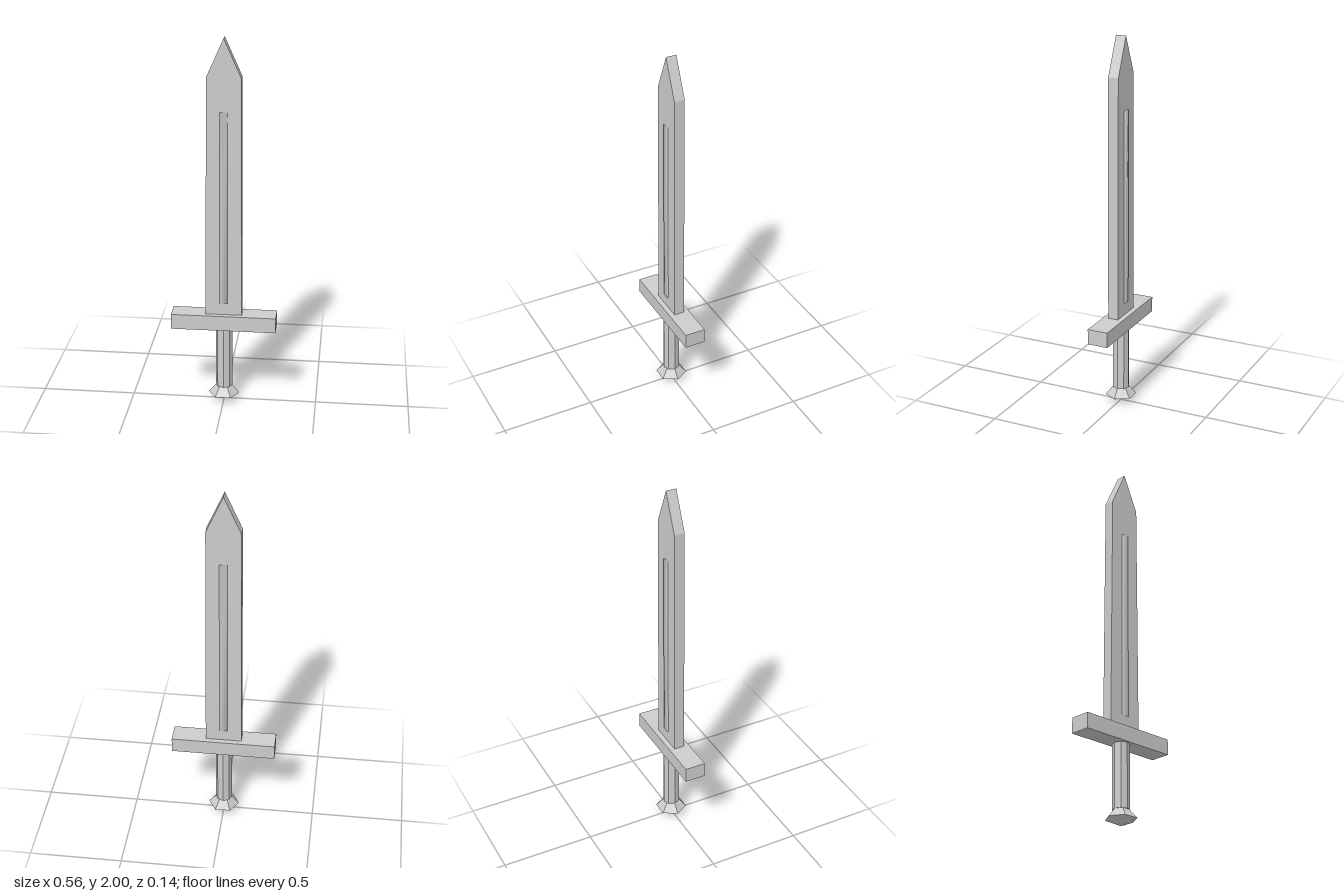
import * as THREE from 'three';
import { mergeVertices } from 'three/addons/utils/BufferGeometryUtils.js';

export function createModel() {
  const model = new THREE.Group();
  model.name = 'sword';

  const steel = new THREE.MeshStandardMaterial({ color: 0xcccccc, flatShading: true });
  steel.name = 'steel';
  const smoothSteel = steel.clone();
  smoothSteel.flatShading = false;
  smoothSteel.name = 'smooth steel';

  function add(name, geometry, y = 0, material = steel) {
    const mesh = new THREE.Mesh(geometry, material);
    mesh.name = name;
    mesh.position.y = y;
    model.add(mesh);
    return mesh;
  }

  // Blade: slightly tapering slab with a pointed tip
  const outline = new THREE.Shape([
    [-0.097, 0.5], [0.097, 0.5], [0.089, 1.8], [0, 2], [-0.089, 1.8],
  ].map(([x, y]) => new THREE.Vector2(x, y)));
  const blade = new THREE.ExtrudeGeometry(outline, { depth: 0.056, bevelEnabled: false });
  add('blade', blade.translate(0, 0, -0.028));

  // Raised rib on both faces, with normals shared around its corners
  const box = new THREE.BoxGeometry(0.042, 1.046, 0.065);
  box.deleteAttribute('normal');
  box.deleteAttribute('uv');
  const rib = mergeVertices(box);
  rib.computeVertexNormals();
  add('bladeRib', rib, 1.098, smoothSteel);

  // Crossguard
  add('crossguard', new THREE.BoxGeometry(0.56, 0.083, 0.112), 0.468);

  // Eight-sided grip
  add('grip', new THREE.CylinderGeometry(0.045, 0.045, 0.35, 8), 0.258);

  // Six-sided faceted pommel
  const profile = [[0, 0], [0.083, 0.036], [0.041, 0.085], [0, 0.085]]
    .map(([r, y]) => new THREE.Vector2(r, y));
  add('pommel', new THREE.LatheGeometry(profile, 6, Math.PI / 6));

  return model;
}
